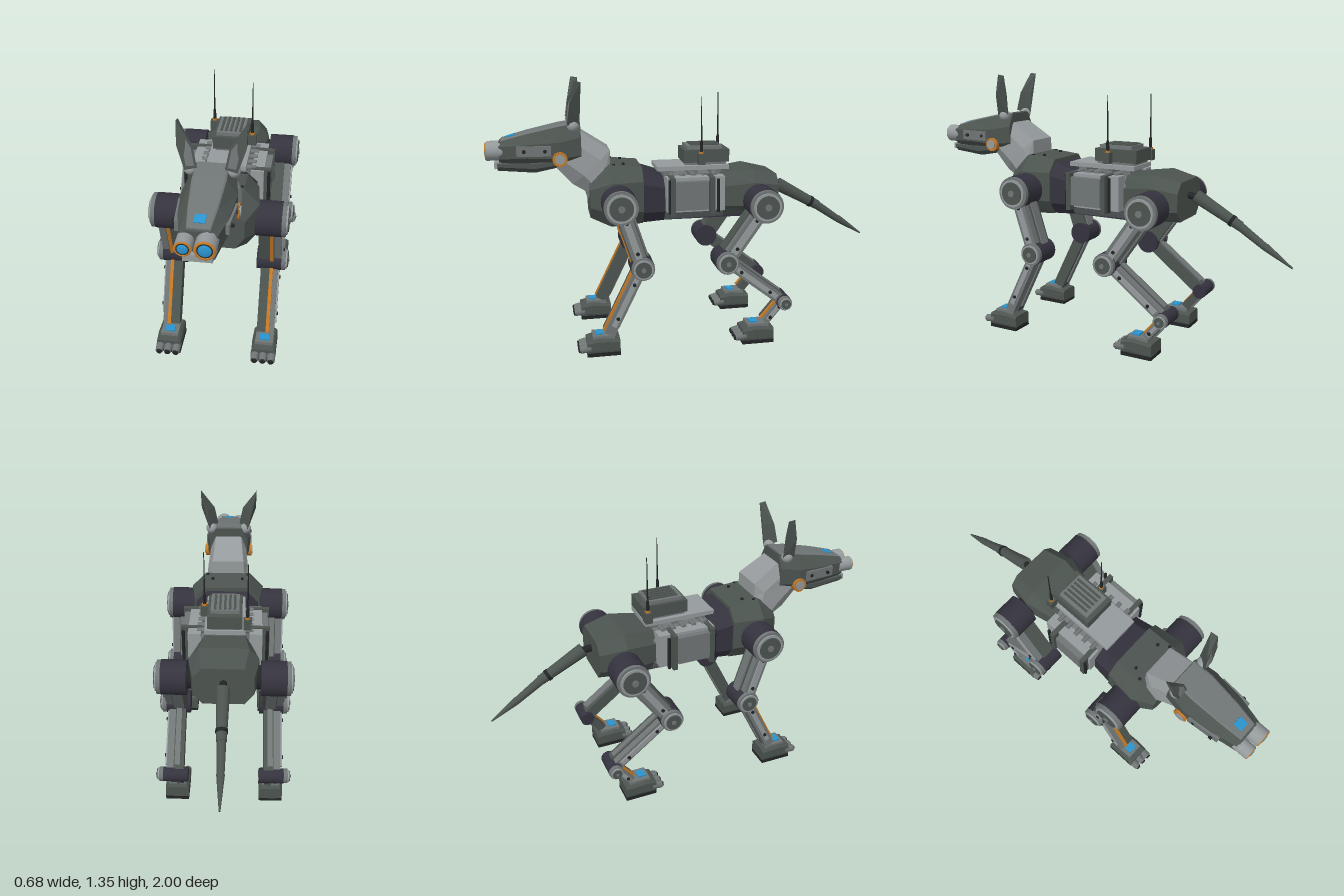
import * as THREE from 'three';
import { ConvexGeometry } from 'three/addons/geometries/ConvexGeometry.js';

const mat = (name, color, flatShading = false) => {
  const m = new THREE.MeshStandardMaterial({ color });
  m.name = name; m.flatShading = flatShading;
  return m;
};
const M = {
  armor: mat('dark armor', 0x4c5450), light: mat('light grey', 0x959a9c), mid: mat('mid grey', 0x707576),
  navy: mat('joint navy', 0x34333e), black: mat('black rubber', 0x222426),
  orange: mat('orange', 0xc47a26), blue: mat('blue', 0x2a94cf),
};

export function createModel() {
  const root = new THREE.Group();
  root.name = 'robotDog';

  const add = (name, geo, m, parent = root) => {
    const mesh = new THREE.Mesh(geo, m);
    mesh.name = name;
    parent.add(mesh);
    return mesh;
  };
  // axis-aligned box given by its ranges
  const box = (name, m, [x0, x1], [y0, y1], [z0, z1], parent = root) => {
    const b = add(name, new THREE.BoxGeometry(Math.abs(x1 - x0), y1 - y0, z1 - z0), m, parent);
    b.position.set((x0 + x1) / 2, (y0 + y1) / 2, (z0 + z1) / 2);
    return b;
  };
  // cylinder lying along x between x0 and x1
  const axle = (name, m, x0, x1, y, z, r, parent = root, sides = 28) => {
    const g = new THREE.CylinderGeometry(r, r, Math.abs(x1 - x0), sides).rotateZ(Math.PI / 2);
    const c = add(name, g, m, parent);
    c.position.set((x0 + x1) / 2, y, z);
    return c;
  };
  // cylinder between two points, radius r0 at a and r1 at b
  const rod = (name, m, a, b, r0, r1, parent = root, sides = 12) => {
    const A = new THREE.Vector3(...a), B = new THREE.Vector3(...b), d = B.clone().sub(A);
    const c = add(name, new THREE.CylinderGeometry(r1, r0, d.length(), sides), m, parent);
    c.position.copy(A).add(B).multiplyScalar(0.5);
    c.quaternion.setFromUnitVectors(new THREE.Vector3(0, 1, 0), d.normalize());
    return c;
  };
  // faceted hull from octagonal sections, ordered by rising z:
  // [z, yTop, yUpper, yLower, yBottom, wTop, wMid, wBottom, slant]
  const loft = (name, m, sections, parent = root) => {
    const rings = sections.map(([z, yt, yu, yl, yb, wt, wm, wb, s = 0]) =>
      [[wb, yb], [wm, yl], [wm, yu], [wt, yt], [-wt, yt], [-wm, yu], [-wm, yl], [-wb, yb]]
        .map(([x, y]) => [x, y, z + s * (y - (yt + yb) / 2)]));
    const p = [], tri = (...v) => v.forEach((q) => p.push(...q));
    for (let i = 0; i + 1 < rings.length; i++) for (let j = 0; j < 8; j++) {
      const k = (j + 1) % 8, a = rings[i], b = rings[i + 1];
      tri(a[j], a[k], b[k]);
      tri(a[j], b[k], b[j]);
    }
    const f = rings[0], l = rings[rings.length - 1];
    for (let j = 1; j < 7; j++) { tri(f[0], f[j + 1], f[j]); tri(l[0], l[j], l[j + 1]); }
    const g = new THREE.BufferGeometry();
    g.setAttribute('position', new THREE.Float32BufferAttribute(p, 3));
    g.computeVertexNormals();
    return add(name, g, m, parent);
  };

  // torso
  loft('hips', M.armor, [
    [-0.465, 0.85, 0.80, 0.71, 0.655, 0.10, 0.145, 0.10], [-0.33, 0.88, 0.82, 0.70, 0.65, 0.12, 0.17, 0.12],
    [-0.17, 0.86, 0.80, 0.70, 0.645, 0.10, 0.135, 0.10]]);
  loft('midBody', M.mid, [
    [-0.18, 0.855, 0.81, 0.69, 0.64, 0.09, 0.135, 0.10], [0.14, 0.855, 0.81, 0.69, 0.635, 0.09, 0.14, 0.10]]);
  loft('waist', M.navy, [
    [0.13, 0.86, 0.81, 0.69, 0.635, 0.10, 0.155, 0.11], [0.27, 0.905, 0.84, 0.69, 0.63, 0.11, 0.17, 0.125]]);
  box('bellyPlate', M.navy, [-0.09, 0.09], [0.63, 0.66], [-0.3, 0.3]);
  loft('chest', M.armor, [
    [0.24, 0.915, 0.85, 0.70, 0.63, 0.12, 0.175, 0.13], [0.40, 0.93, 0.85, 0.70, 0.62, 0.12, 0.195, 0.135],
    [0.50, 0.87, 0.81, 0.72, 0.66, 0.08, 0.135, 0.09]]);
  box('breastPlate', M.mid, [-0.065, 0.065], [0.76, 0.87], [0.45, 0.512]);

  // saddle rail and equipment pack
  box('saddlePlate', M.light, [-0.1, 0.1], [0.885, 0.907], [-0.21, 0.16]);
  for (const z of [-0.15, -0.03, 0.1]) box('saddleMount', M.mid, [-0.07, 0.07], [0.84, 0.89], [z - 0.025, z + 0.025]);
  box('packBase', M.mid, [-0.075, 0.075], [0.905, 0.925], [-0.2, 0.01]);
  box('packBody', M.armor, [-0.085, 0.085], [0.92, 0.985], [-0.215, 0.02]);
  box('packLid', M.mid, [-0.07, 0.07], [0.985, 1.003], [-0.18, 0]);
  for (let i = 0; i < 5; i++)
    box('packSlat', M.armor, [-0.054 + i * 0.024, -0.042 + i * 0.024], [1.0, 1.009], [-0.17, -0.02]);
  for (const [x, z] of [[0.105, -0.065], [-0.11, -0.2]]) {
    box('antennaBracket', M.armor, [x - 0.02, x + 0.02], [0.915, 0.97], [z - 0.018, z + 0.018]);
    rod('antennaCollar', M.orange, [x, 0.965, z], [x, 0.98, z], 0.012, 0.012);
    rod('antennaBase', M.black, [x, 0.97, z], [x, 1.03, z], 0.009, 0.007);
    rod('antenna', M.black, [x, 1.03, z], [x, 1.255, z], 0.004, 0.002);
  }

  // neck
  loft('neck', M.light, [
    [0.4475, 0.93, 0.89, 0.82, 0.78, 0.09, 0.115, 0.06, -0.7],
    [0.4875, 1.0, 0.955, 0.88, 0.83, 0.085, 0.11, 0.06, -1.09],
    [0.595, 1.09, 1.04, 0.96, 0.92, 0.07, 0.095, 0.06, -0.765]]);

  // head
  loft('skull', M.armor, [
    [0.535, 1.135, 1.07, 0.98, 0.95, 0.07, 0.105, 0.08], [0.64, 1.12, 1.05, 0.97, 0.93, 0.075, 0.122, 0.08],
    [0.80, 1.085, 1.04, 0.975, 0.93, 0.065, 0.108, 0.07], [0.93, 1.05, 1.03, 0.97, 0.94, 0.05, 0.078, 0.05]]);
  loft('foreheadPlate', M.mid, [
    [0.54, 1.142, 1.137, 1.135, 1.12, 0.062, 0.07, 0.07], [0.64, 1.127, 1.122, 1.12, 1.11, 0.067, 0.075, 0.07],
    [0.80, 1.092, 1.087, 1.085, 1.07, 0.058, 0.064, 0.06], [0.92, 1.06, 1.055, 1.052, 1.04, 0.045, 0.05, 0.05]]);
  loft('jaw', M.armor, [
    [0.62, 0.965, 0.955, 0.94, 0.92, 0.09, 0.1, 0.05], [0.76, 0.955, 0.945, 0.92, 0.895, 0.08, 0.095, 0.06],
    [0.94, 0.95, 0.945, 0.93, 0.91, 0.055, 0.07, 0.05]]);
  box('chin', M.light, [-0.062, 0.062], [0.92, 0.952], [0.9, 0.955]);
  const patch = box('foreheadSensor', M.blue, [-0.024, 0.024], [1.068, 1.077], [0.85, 0.895]);
  patch.rotation.x = 0.27;

  // camera eyes
  for (const [x, r] of [[0.037, 0.046], [-0.052, 0.037]]) {
    rod('lensBarrel', M.light, [x, 1.005, 0.91], [x, 1.005, 0.99], r, r, root, 28);
    const ring = add('lensRing', new THREE.TorusGeometry(r * 0.83, r * 0.13, 10, 32), M.orange);
    ring.position.set(x, 1.005, 0.99);
    rod('lensWell', M.black, [x, 1.005, 0.98], [x, 1.005, 0.993], r * 0.85, r * 0.85, root, 28);
    const glass = add('lensGlass', new THREE.SphereGeometry(r * 0.62, 24, 14), M.blue);
    glass.scale.z = 0.25;
    glass.position.set(x, 1.005, 0.993);
  }

  // legs: points are [y, z]; segments run between them
  const limb = (name, s, top, bottom, x0, x1, t, stripe, parent) => {
    const dy = top[0] - bottom[0], dz = top[1] - bottom[1], len = Math.hypot(dy, dz);
    const g = new THREE.Group();
    g.name = name;
    g.position.set(0, (top[0] + bottom[0]) / 2, (top[1] + bottom[1]) / 2);
    g.rotation.x = Math.atan2(dz, dy);
    parent.add(g);
    const h = len / 2, xs = x1 - 0.035;
    box('limbCore', M.armor, [s * x0, s * xs], [-h, h], [-t / 2, t / 2], g);
    box('limbOuterPlate', M.mid, [s * xs, s * x1], [-h, h], [-t * 0.42, t * 0.42], g);
    box('limbOuterRail', M.light, [s * x1, s * (x1 + 0.008)], [-h * 0.75, h * 0.75], [-t * 0.2, t * 0.2], g);
    box('limbBackRail', M.mid, [s * (x0 + 0.02), s * (xs - 0.005)], [-h * 0.8, h * 0.8], [-t / 2 - 0.008, 0], g);
    if (stripe) box('limbStripe', M.orange, [s * 0.245, s * 0.262], [-h, h], [0, t / 2 + 0.006], g);
    for (const k of [-0.5, 0.5]) axle('limbBolt', M.black, s * x1, s * (x1 + 0.014), k * h, 0, 0.009, g, 10);
  };
  const joint = (name, s, [y, z], r, parent) => {
    const g = new THREE.Group();
    g.name = name;
    parent.add(g);
    axle('jointDrum', M.navy, s * 0.178, s * 0.302, y, z, r, g);
    axle('jointCap', M.mid, s * 0.302, s * 0.322, y, z, r * 0.97, g);
    axle('jointRim', M.light, s * 0.322, s * 0.33, y, z, r * 0.82, g);
    axle('jointDisc', M.armor, s * 0.33, s * 0.335, y, z, r * 0.68, g);
    axle('jointHub', M.mid, s * 0.335, s * 0.34, y, z, r * 0.2, g, 12);
  };
  const foot = (s, z, parent) => {
    const g = new THREE.Group();
    g.name = 'foot';
    g.position.set(s * 0.243, 0, z);
    parent.add(g);
    box('sole', M.black, [-0.06, 0.06], [0, 0.02], [-0.105, 0.06], g);
    loft('footShell', M.armor, [
      [-0.105, 0.08, 0.07, 0.03, 0.015, 0.05, 0.06, 0.058], [0.0, 0.092, 0.078, 0.03, 0.015, 0.05, 0.062, 0.058],
      [0.06, 0.078, 0.068, 0.03, 0.015, 0.048, 0.06, 0.058]], g);
    box('footTop', M.mid, [-0.045, 0.045], [0.08, 0.102], [-0.08, 0.03], g);
    box('footLight', M.blue, [-0.025, 0.025], [0.102, 0.11], [-0.025, 0.015], g);
    for (const x of [-0.042, 0, 0.042]) {
      rod('toe', M.mid, [x, 0.045, 0.04], [x, 0.036, 0.095], 0.023, 0.019, g, 10);
      rod('toePad', M.black, [x, 0.036, 0.094], [x, 0.034, 0.103], 0.016, 0.012, g, 10);
    }
  };

  for (const s of [1, -1]) {
    const side = s > 0 ? 'left' : 'right';
    const front = new THREE.Group(), rear = new THREE.Group();
    front.name = side + 'FrontLeg';
    rear.name = side + 'RearLeg';
    root.add(front, rear);

    // front leg
    const shoulder = [0.757, 0.368], elbow = [0.447, 0.267], wrist = [0.105, 0.435];
    axle('shoulderShaft', M.black, s * 0.1, s * 0.18, ...shoulder, 0.055, front);
    joint('shoulder', s, shoulder, 0.086, front);
    joint('elbow', s, elbow, 0.059, front);
    limb('upperFrontLeg', s, shoulder, elbow, 0.19, 0.302, 0.082, true, front);
    limb('lowerFrontLeg', s, elbow, wrist, 0.2, 0.287, 0.062, true, front);
    foot(s, 0.49, front);

    // rear leg
    const hip = [0.73, -0.353], knee = [0.45, -0.157], hock = [0.215, -0.462], ankle = [0.105, -0.37];
    axle('hipShaft', M.black, s * 0.1, s * 0.18, ...hip, 0.055, rear);
    joint('hip', s, hip, 0.086, rear);
    joint('knee', s, knee, 0.059, rear);
    joint('hock', s, hock, 0.037, rear);
    limb('thigh', s, hip, knee, 0.19, 0.3, 0.085, false, rear);
    limb('shin', s, knee, hock, 0.2, 0.287, 0.062, false, rear);
    limb('hockLink', s, hock, ankle, 0.21, 0.28, 0.045, true, rear);
    foot(s, -0.305, rear);

    // side pods with straps
    box('sidePod', M.light, [s * 0.12, s * 0.185], [0.69, 0.865], [-0.17, 0.125]);
    box('sidePodPanel', M.mid, [s * 0.185, s * 0.215], [0.705, 0.85], [-0.08, 0.09]);
    for (const z of [-0.1, 0.1]) box('podStrap', M.armor, [s * 0.12, s * 0.222], [0.68, 0.87], [z - 0.012, z + 0.012]);
    for (const z of [-0.13, 0.115]) rod('podPost', M.black, [s * 0.21, 0.69, z], [s * 0.21, 0.86, z], 0.008, 0.008);
    for (let i = 0; i < 5; i++) axle('pipeRib', M.mid, s * 0.09, s * 0.14, 0.865, -0.13 + i * 0.055, 0.012, root, 10);
    for (const [x, z] of [[0.08, 0.33], [0.11, 0.38]]) rod('chestBolt', M.black, [s * x, 0.9, z], [s * x, 0.932, z], 0.008, 0.008);

    // cheeks and jaw pivots
    const cheek = box('cheekPlate', M.mid, [s * 0.105, s * 0.122], [0.985, 1.035], [0.68, 0.845]);
    cheek.rotation.y = -s * 0.09;
    for (const z of [0.71, 0.81]) axle('cheekBolt', M.black, s * 0.11, s * 0.129, 1.01, z, 0.009, root, 10);
    axle('jawPivot', M.orange, s * 0.1, s * 0.131, 0.968, 0.64, 0.036);
    axle('jawPivotCap', M.light, s * 0.131, s * 0.137, 0.968, 0.64, 0.024);

    // ears
    const pivot = add('earPivot', new THREE.SphereGeometry(0.03, 18, 12), M.light);
    pivot.position.set(s * 0.095, 1.125, 0.57);
    const V = (x, y, z) => new THREE.Vector3(s * x, y, z);
    add('ear', new ConvexGeometry([
      V(0.152, 1.345, 0.565), V(0.15, 1.34, 0.53), V(0.15, 1.24, 0.585), V(0.115, 1.13, 0.6), V(0.06, 1.145, 0.6),
      V(0.078, 1.24, 0.585), V(0.105, 1.13, 0.54), V(0.115, 1.24, 0.54)]), M.armor);
    add('innerEar', new ConvexGeometry([
      V(0.14, 1.305, 0.568), V(0.108, 1.15, 0.602), V(0.072, 1.155, 0.602), V(0.086, 1.235, 0.59),
      V(0.138, 1.3, 0.564), V(0.108, 1.15, 0.595), V(0.072, 1.155, 0.595)]), M.mid);
  }

  // tail
  rod('tailJoint', M.black, [0, 0.775, -0.44], [0, 0.765, -0.53], 0.018, 0.018);
  rod('tailBase', M.armor, [0, 0.772, -0.505], [0, 0.645, -0.735], 0.035, 0.025, root, 10);
  rod('tailRing', M.black, [0, 0.672, -0.685], [0, 0.664, -0.7], 0.03, 0.03, root, 10);
  rod('tailMiddle', M.armor, [0, 0.65, -0.725], [0, 0.555, -0.865], 0.023, 0.018, root, 10);
  rod('tailTip', M.armor, [0, 0.56, -0.86], [0, 0.472, -0.995], 0.02, 0.004, root, 10);

  return root;
}
